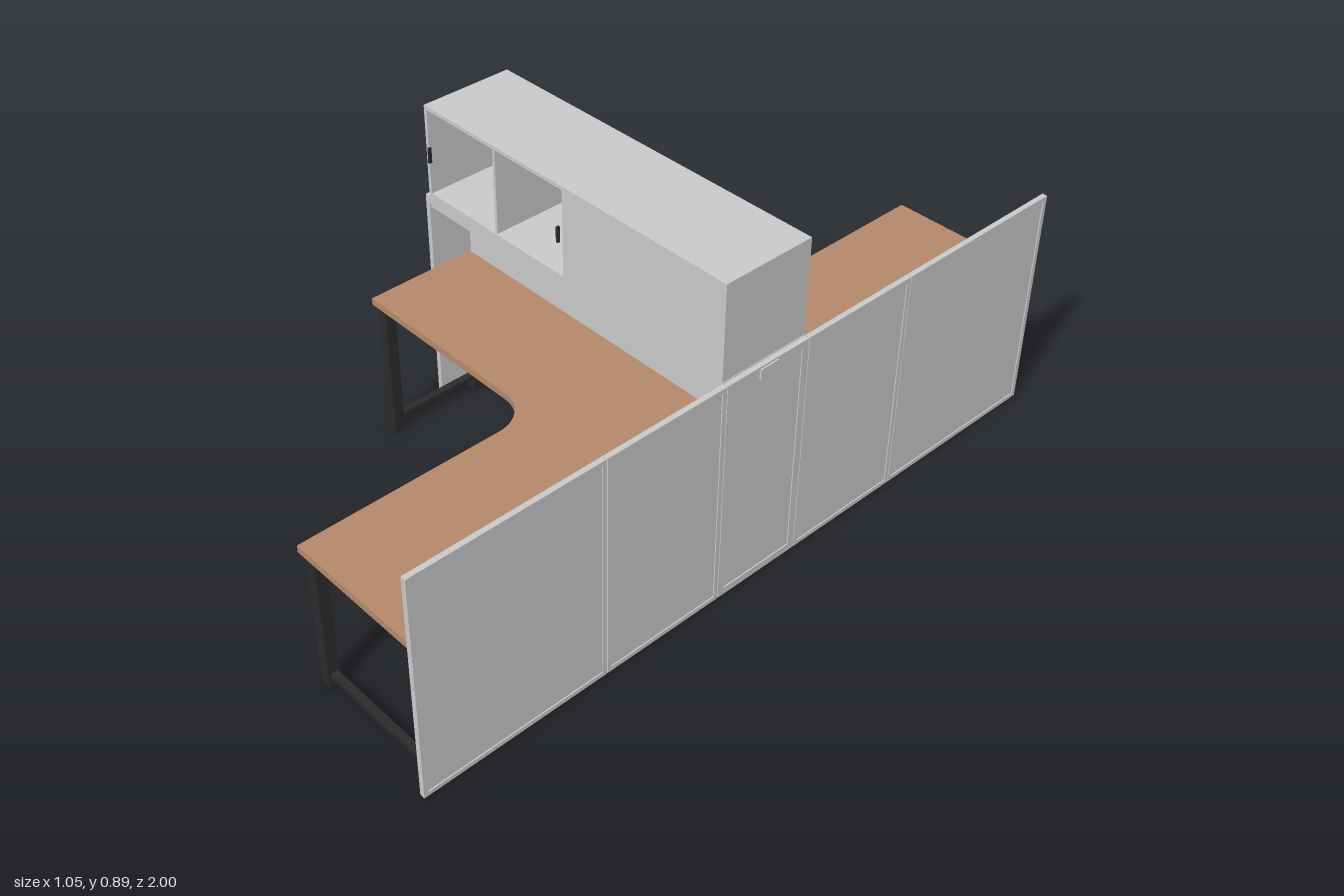
import * as THREE from 'three';

const mat = (name, color, extra = {}) => {
  const m = new THREE.MeshStandardMaterial({ color, ...extra });
  m.name = name;
  return m;
};

export function createModel() {
  const grey = mat('panel grey', 0xc9c9c9);
  const wood = mat('wood', 0xb5886b);
  const black = mat('black steel', 0x2b2b2b);
  const model = new THREE.Group();
  model.name = 'doubleWorkstation';

  const group = (name) => {
    const g = new THREE.Group();
    g.name = name;
    model.add(g);
    return g;
  };
  // Box given by its limits on each axis, in any order
  const box = (parent, name, m, [x0, x1], [y0, y1], [z0, z1]) => {
    const geo = new THREE.BoxGeometry(Math.abs(x1 - x0), Math.abs(y1 - y0), Math.abs(z1 - z0));
    const mesh = new THREE.Mesh(geo, m);
    mesh.position.set((x0 + x1) / 2, (y0 + y1) / 2, (z0 + z1) / 2);
    mesh.name = name;
    parent.add(mesh);
    return mesh;
  };

  // Framed screen bay standing in the yz plane
  const bay = (parent, x0, x1, z0, z1, rim) => {
    const inset = 0.003;
    box(parent, 'screenInfill', grey, [x0 + inset, x1 - inset], [rim, 0.63 - rim], [z0 + rim, z1 - rim]);
    box(parent, 'screenBottomRail', grey, [x0, x1], [0, rim], [z0, z1]);
    box(parent, 'screenTopRail', grey, [x0, x1], [0.63 - rim, 0.63], [z0, z1]);
    box(parent, 'screenPost', grey, [x0, x1], [rim, 0.63 - rim], [z0, z0 + rim]);
    box(parent, 'screenPost', grey, [x0, x1], [rim, 0.63 - rim], [z1 - rim, z1]);
  };

  // Long side screen and short end screen
  const screen = group('sideScreen');
  const seams = [-1, -0.48, -0.13, 0.13, 0.48, 1];
  for (let i = 0; i < 5; i++) {
    bay(screen, 0.508, 0.522, seams[i] + 0.001, seams[i + 1] - 0.001, i === 2 ? 0.02 : 0.012);
  }
  const end = group('endScreen');
  bay(end, -0.524, -0.51, -0.13, 0.13, 0.02);
  box(screen, 'latch', grey, [0.52, 0.526], [0.597, 0.625], [-0.028, 0.028]);
  box(end, 'latch', grey, [-0.528, -0.522], [0.597, 0.625], [-0.028, 0.028]);

  // Central spine with two cable openings
  const spine = new THREE.Shape();
  spine.moveTo(-0.51, 0.02).lineTo(0.508, 0.02).lineTo(0.508, 0.6).lineTo(-0.51, 0.6).closePath();
  for (const [a, b] of [[-0.4, -0.213], [0.21, 0.398]]) {
    const hole = new THREE.Path();
    const r = 0.012, lo = 0.54, hi = 0.596;
    hole.moveTo(a, hi).lineTo(a, lo + r).quadraticCurveTo(a, lo, a + r, lo);
    hole.lineTo(b - r, lo).quadraticCurveTo(b, lo, b, lo + r).lineTo(b, hi).closePath();
    spine.holes.push(hole);
  }
  const spineGeo = new THREE.ExtrudeGeometry(spine, { depth: 0.02, bevelEnabled: false });
  spineGeo.translate(0, 0, -0.01);
  const spineMesh = new THREE.Mesh(spineGeo, grey);
  spineMesh.name = 'spinePanel';
  model.add(spineMesh);

  // Overhead cabinet: one half opens to the front, the other to the back
  const hutch = group('overheadCabinet');
  const lo = 0.645, hi = 0.88;
  box(hutch, 'supportShelf', grey, [-0.515, 0.512], [0.598, 0.612], [-0.125, 0.125]);
  box(hutch, 'supportShelfTop', grey, [-0.524, 0.508], [0.612, 0.632], [-0.13, 0.13]);
  box(hutch, 'cabinetFloor', grey, [-0.508, 0.506], [0.632, lo], [-0.13, 0.13]);
  box(hutch, 'cabinetTop', grey, [-0.508, 0.506], [hi, 0.89], [-0.13, 0.13]);
  box(hutch, 'cabinetEnd', grey, [-0.508, -0.498], [lo, hi], [-0.13, 0.13]);
  box(hutch, 'cabinetEnd', grey, [0.496, 0.506], [lo, hi], [-0.13, 0.13]);
  box(hutch, 'middleWall', grey, [-0.01, 0.01], [lo, hi], [-0.13, 0.13]);
  for (const s of [1, -1]) {
    box(hutch, 'closedFace', grey, [s * 0.01, s * 0.497], [lo, hi], [s * 0.12, s * 0.13]);
    box(hutch, 'divider', grey, [-s * 0.25, -s * 0.258], [lo, hi], [-s * 0.12, s * 0.126]);
    for (const x of [-0.491, -0.021]) {
      box(hutch, 'handle', black, [s * (x - 0.003), s * (x + 0.003)], [0.738, 0.78], [s * 0.13, s * 0.138]);
    }
  }
  box(hutch, 'slidingDoor', wood, [0.012, 0.252], [lo, hi], [-0.131, -0.123]);
  box(hutch, 'slidingDoor', wood, [0.256, 0.496], [lo, hi], [-0.131, -0.123]);

  // L-shaped desk on either side of the spine
  for (const s of [1, -1]) {
    const desk = group(s > 0 ? 'frontDesk' : 'backDesk');
    const top = new THREE.Shape();
    top.moveTo(-0.512, s * 0.011).lineTo(0.507, s * 0.011).lineTo(0.507, s * 0.977);
    top.lineTo(0.1, s * 0.977).lineTo(0.1, s * 0.425);
    top.bezierCurveTo(0.1, s * 0.37, 0.055, s * 0.325, 0, s * 0.325);
    top.lineTo(-0.512, s * 0.325).closePath();
    const geo = new THREE.ExtrudeGeometry(top, { depth: 0.019, bevelEnabled: false, curveSegments: 16 });
    geo.rotateX(Math.PI / 2).translate(0, 0.414, 0);
    const worktop = new THREE.Mesh(geo, wood);
    worktop.name = 'worktop';
    desk.add(worktop);

    const h = 0.015;
    const leg = (x, z) => box(desk, 'leg', black, [x - h, x + h], [0, 0.395], [s * (z - h), s * (z + h)]);
    const barX = (y, t, x0, x1, z) => box(desk, 'beam', black, [x0, x1], [y, y + t], [s * (z - 0.01), s * (z + 0.01)]);
    const barZ = (y, t, x, z0, z1) => box(desk, 'beam', black, [x - 0.01, x + 0.01], [y, y + t], [s * z0, s * z1]);

    // Legs of the end frame, outer frame and corner frame
    for (const [x, z] of [[-0.488, 0.035], [-0.488, 0.3], [0.125, 0.95], [0.485, 0.95], [0.32, 0.035], [0.485, 0.2]]) leg(x, z);

    // Floor-level rails
    barZ(0.03, 0.014, -0.488, 0.035, 0.3);
    barX(0.03, 0.014, 0.125, 0.485, 0.95);
    const dx = 0.165, dz = 0.165;
    for (const [y, t] of [[0.037, 0.014], [0.386, 0.017]]) {
      const brace = new THREE.Mesh(new THREE.BoxGeometry(Math.hypot(dx, dz), t, 0.02), black);
      brace.position.set(0.4025, y, s * 0.1175);
      brace.rotation.y = -s * Math.PI / 4;
      brace.name = 'cornerBrace';
      desk.add(brace);
    }

    // Mid-height stretchers and beams under the worktop
    barX(0.157, 0.018, -0.488, 0.485, 0.035);
    barZ(0.157, 0.018, 0.485, 0.025, 0.95);
    barX(0.379, 0.016, -0.488, 0.485, 0.035);
    barX(0.379, 0.016, -0.488, 0.125, 0.3);
    barX(0.379, 0.016, 0.125, 0.485, 0.95);
    barZ(0.379, 0.016, -0.488, 0.035, 0.3);
    barZ(0.379, 0.016, 0.485, 0.035, 0.95);
    barZ(0.379, 0.016, 0.125, 0.3, 0.95);
  }
  return model;
}
